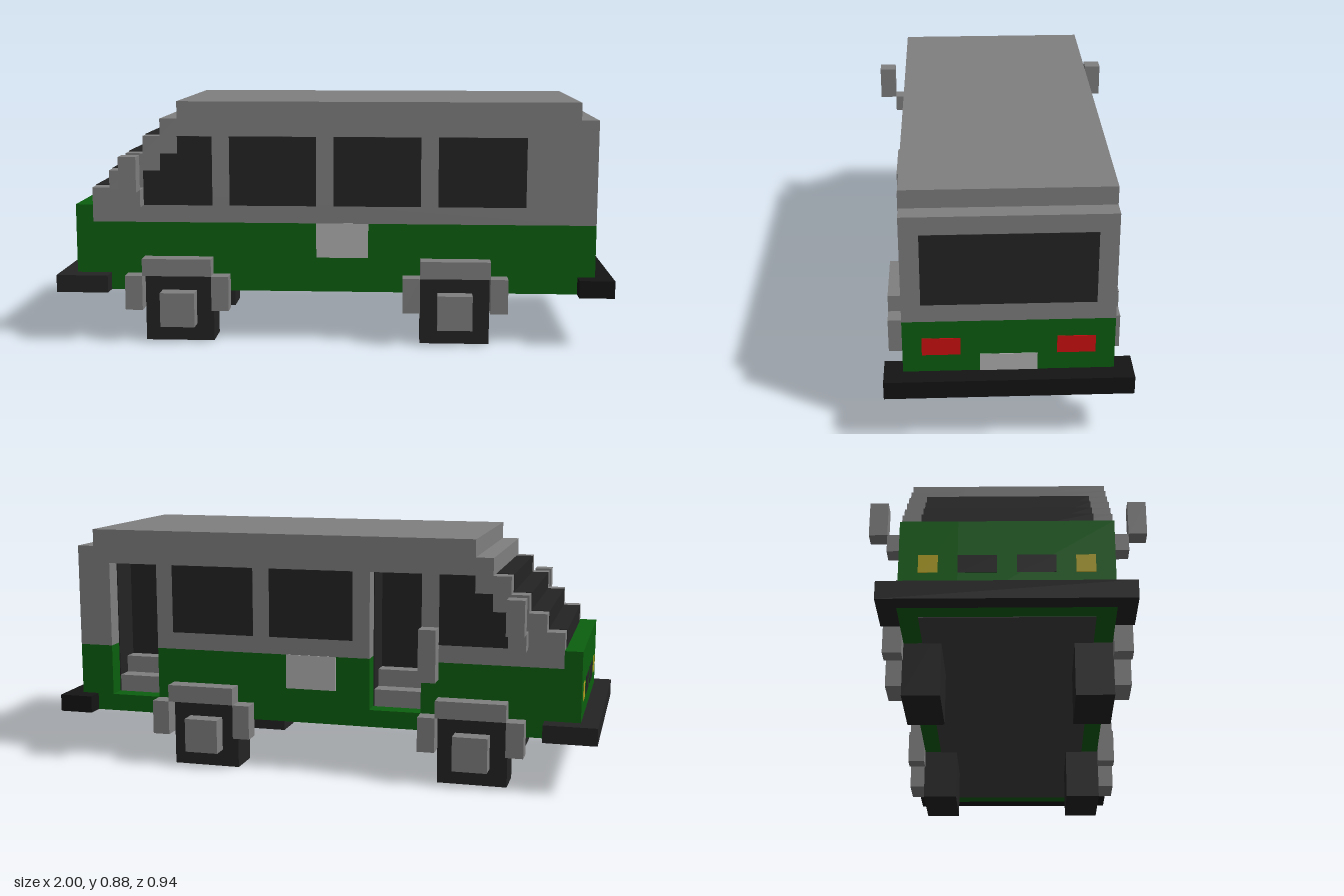
import * as THREE from 'three';

const U = 1 / 16; // one block
const E = 0.03;   // slight lift for surface panels, in blocks
const mat = (color) => new THREE.MeshStandardMaterial({ color, flatShading: true });
const grey = mat(0x808080), light = mat(0xb4b4b4), green = mat(0x0c6010), dark = mat(0x242424);
const black = mat(0x141414), red = mat(0xd01010), yellow = mat(0xb0a020), floorGrey = mat(0x404040);

export function createModel() {
  const van = new THREE.Group();
  van.name = 'van';

  // Box given by its min and max corners, in blocks
  const box = (name, m, x0, x1, y0, y1, z0, z1, parent = van) => {
    const g = new THREE.BoxGeometry((x1 - x0) * U, (y1 - y0) * U, (z1 - z0) * U);
    g.translate((x0 + x1) / 2 * U, (y0 + y1) / 2 * U, (z0 + z1) / 2 * U);
    const mesh = new THREE.Mesh(g, m);
    mesh.name = name;
    parent.add(mesh);
    return mesh;
  };
  // Side outline in blocks, extruded from z0 to z1
  const slab = (name, m, pts, z0, z1) => {
    const shape = new THREE.Shape(pts.map(([x, y]) => new THREE.Vector2(x * U, y * U)));
    const g = new THREE.ExtrudeGeometry(shape, { depth: (z1 - z0) * U, bevelEnabled: false });
    g.translate(0, 0, z0 * U);
    const mesh = new THREE.Mesh(g, m);
    mesh.name = name;
    van.add(mesh);
  };
  // Doorway cut into an outline between x0 and x1
  const notch = (x0, x1, edge, end) => [[x0, edge], [x0, end], [x1, end], [x1, edge]];

  // Body shell: solid core plus a side layer with two doorways
  const lowerFront = [[-14, 7], [-14, 8], [-15, 8]];
  const upper = [[-14, 7], [-14, 9], [-13, 9], [-13, 10], [-12, 10], [-12, 11], [-11, 11], [-11, 12],
    [-10, 12], [-10, 13], [-9, 13], [-9, 14], [14, 14], [14, 13], [15, 13], [15, 7]];
  slab('lowerBody', green, [[-15, 3], [15, 3], [15, 7], ...lowerFront], -2.5, 5.5);
  slab('upperBody', grey, upper, -2.5, 5.5);
  slab('lowerDoorSide', green,
    [[-15, 3], [15, 3], [15, 7], ...notch(13, 10, 7, 4), ...notch(-3, -6, 7, 4), ...lowerFront], -5.5, -2.5);
  slab('upperDoorSide', grey,
    [...upper, ...notch(13, 10, 7, 12), ...notch(-3, -6, 7, 12)], -5.5, -2.5);

  // Doorway linings and entry steps
  for (const x of [10, -6]) {
    const door = new THREE.Group();
    door.name = 'doorway';
    van.add(door);
    box('doorBack', dark, x, x + 3, 4, 12, -2.6, -2.5, door);
    for (const s of [x, x + 2.95]) box('doorLining', dark, s, s + 0.05, 4, 12, -4.5, -2.5, door);
    box('lowerStep', grey, x + 0.06, x + 2.94, 4, 5, -4.5, -3.5, door);
    box('upperStep', grey, x + 0.06, x + 2.94, 4, 6, -3.5, -2.6, door);
  }
  box('doorHandrail', grey, -7, -6, 6, 9, -6.5, -5.5);

  // Stepped windscreen
  for (let i = 0; i < 4; i++) {
    box('windscreenStep', dark, -14 + i - E, -13 + i - E, 7, 9 + i + E, -4.5, 4.5);
  }

  // Side windows, light panels and stepped cab windows
  const cabWindow = [[-11, 8], [-7, 8], [-7, 12], [-9, 12], [-9, 11], [-10, 11], [-10, 10], [-11, 10]];
  for (const [s, windows] of [[1, [-6, 0, 6]], [-1, [-2, 4]]]) {
    const z0 = s > 0 ? 5.4 : -5.5 - E, z1 = s > 0 ? 5.5 + E : -5.4;
    for (const x of windows) box('sideWindow', dark, x, x + 5, 8, 12, z0, z1);
    slab('cabWindow', dark, cabWindow, z0, z1);
    box('sidePanel', light, -1, 2, 5, 7, z0, z1);
  }

  // Rear window, tail lights and rear plate
  box('rearWindow', dark, 14.9, 15 + E, 8, 12, -4.5, 4.5);
  box('rearPlate', light, 14.9, 15 + E, 4, 5, -1.5, 1.5);
  for (const z of [-4.5, 2.5]) box('tailLight', red, 14.9, 15 + E, 5, 6, z, z + 2);

  // Headlights and grille
  for (const z of [-4.5, 3.5]) box('headlight', yellow, -15 - E, -14.9, 5, 6, z, z + 1);
  for (const z of [-2.5, 0.5]) box('grille', dark, -15 - E, -14.9, 5, 6, z, z + 2);

  // Bumpers wrapping round the corners
  box('frontBumper', dark, -16, -15, 3, 4, -6.5, 6.5);
  box('rearBumper', black, 15, 16, 3, 4, -6.5, 6.5);
  for (const z of [-6.5, 5.5]) {
    box('frontBumperEnd', dark, -15, -13, 3, 4, z, z + 1);
    box('rearBumperEnd', black, 14, 15, 3, 4, z, z + 1);
  }

  // Underside
  box('floor', floorGrey, -14, 14, 3 - E, 3.1, -4.5, 4.5);

  // Wheels, hubs and arches
  for (const cx of [-9, 7]) {
    for (const s of [1, -1]) {
      const wheel = new THREE.Group();
      wheel.name = 'wheel';
      van.add(wheel);
      const side = (name, m, x0, x1, y0, y1, a, b) =>
        box(name, m, cx + x0, cx + x1, y0, y1, Math.min(s * a, s * b), Math.max(s * a, s * b), wheel);
      side('tyre', dark, -2, 2, 0, 4, 3.5, 5.5 + E);
      side('hub', grey, -1, 1, 1, 3, 5.5, 6.5);
      side('archTop', grey, -2, 2, 4, 5, 5.5, 6.5);
      side('archFront', grey, -3, -2, 2, 4, 5.5, 6.5);
      side('archRear', grey, 2, 3, 2, 4, 5.5, 6.5);
    }
  }

  // Wing mirrors
  for (const s of [1, -1]) {
    box('mirrorArm', grey, -12, -11, 8, 9, s > 0 ? 5.5 : -6.5, s > 0 ? 6.5 : -5.5);
    box('mirror', grey, -12, -11, 9, 11, s > 0 ? 6.5 : -7.5, s > 0 ? 7.5 : -6.5);
  }
  return van;
}
